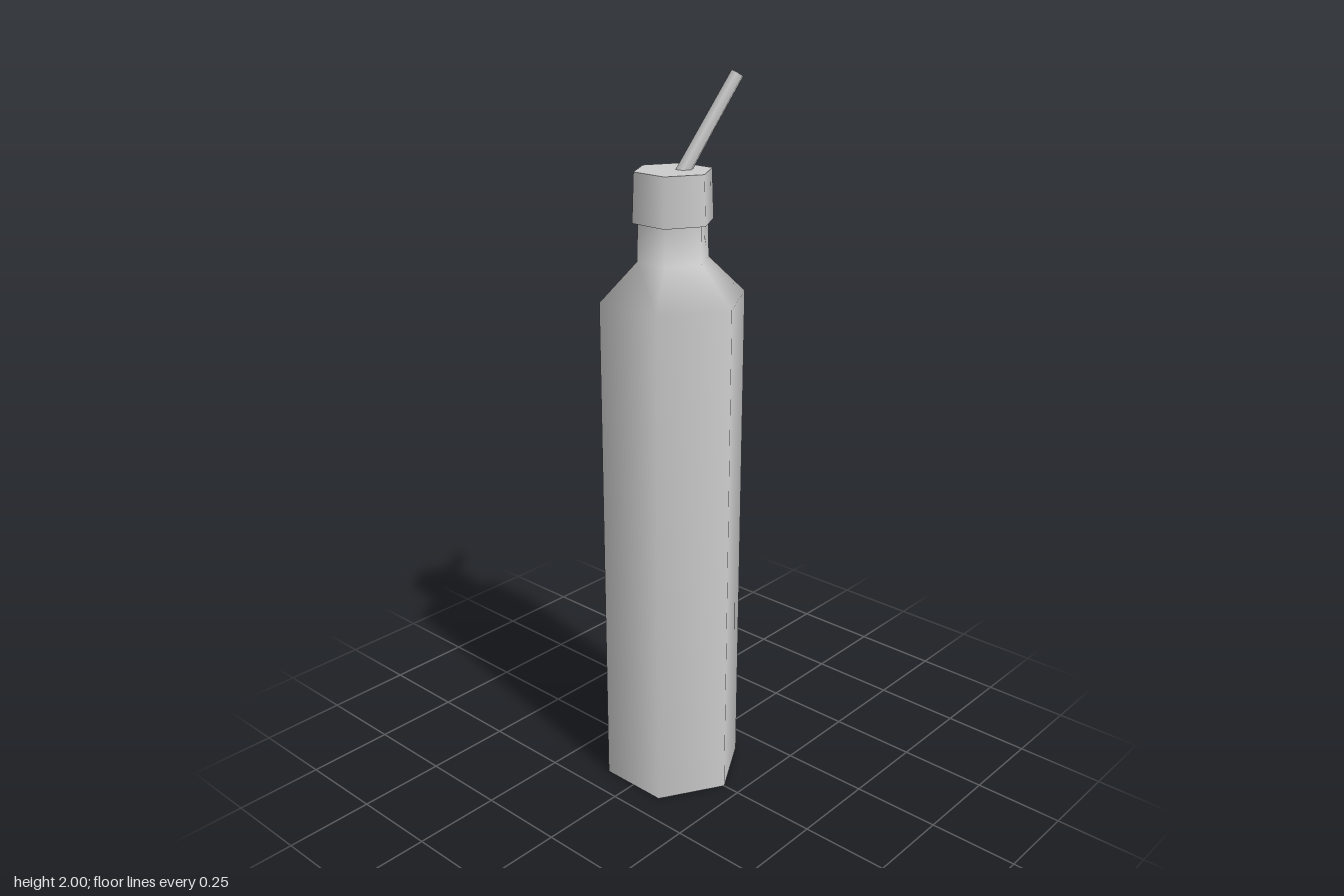
import * as THREE from 'three';

const SIDES = 6;
const START = Math.PI / 2; // puts a corner of the hexagon on the x axis

export function createModel() {
  const group = new THREE.Group();
  const material = new THREE.MeshStandardMaterial({ color: 0xcccccc });
  const add = (name, geometry) => {
    const mesh = new THREE.Mesh(geometry, material);
    mesh.name = name;
    group.add(mesh);
    return mesh;
  };

  // Bottle wall: straight body, sloping shoulder and neck, smooth shaded
  const profile = [[0.2, 0], [0.2, 1.43], [0.098, 1.53], [0.095, 1.64]]
    .map(([r, y]) => new THREE.Vector2(r, y));
  add('bottleBody', new THREE.LatheGeometry(profile, SIDES, START));

  // Flat underside
  add('bottleBase', new THREE.CircleGeometry(0.2, SIDES).rotateX(Math.PI / 2));

  // Cap, slightly wider at its lower rim
  const cap = add('cap', new THREE.CylinderGeometry(0.105, 0.11, 0.13, SIDES, 1, false, START));
  cap.position.y = 1.695;

  // Tilted straw, its foot sunk into the cap
  const foot = new THREE.Vector3(0, 1.71, 0);
  const tip = new THREE.Vector3(0.084, 1.991, -0.147);
  const axis = tip.clone().sub(foot);
  const straw = add('straw', new THREE.CylinderGeometry(0.018, 0.021, axis.length(), SIDES, 1, false, START));
  straw.position.copy(foot).lerp(tip, 0.5);
  straw.quaternion.setFromUnitVectors(new THREE.Vector3(0, 1, 0), axis.normalize());

  return group;
}
